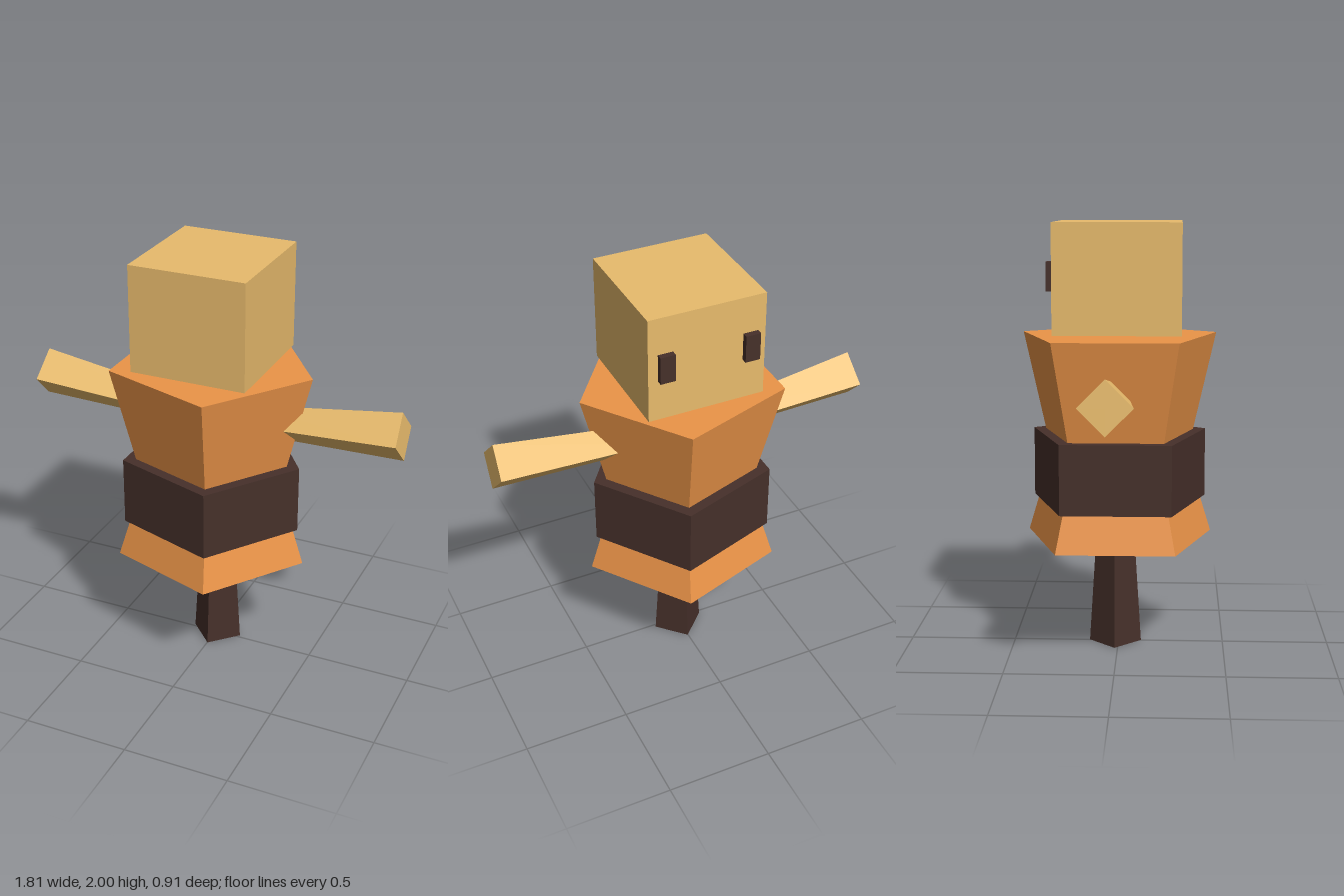
import * as THREE from 'three';

const material = (color) => new THREE.MeshStandardMaterial({ color, flatShading: true });

export function createModel() {
  const model = new THREE.Group();
  const straw = material(0xe8bb6c);
  const cloth = material(0xeb9448);
  const darkWood = material(0x46302a);

  const add = (name, geometry, mat, x, y, z) => {
    const mesh = new THREE.Mesh(geometry, mat);
    mesh.name = name;
    mesh.position.set(x, y, z);
    model.add(mesh);
    return mesh;
  };

  // Five-sided ring section with one corner pointing to +x
  const pentagon = (name, mat, rTop, rBottom, y0, y1) => {
    const g = new THREE.CylinderGeometry(rTop, rBottom, y1 - y0, 5, 1, false, Math.PI / 2);
    return add(name, g, mat, -0.012, (y0 + y1) / 2, 0);
  };

  // Post, tapered, with corners on the axes
  add('post', new THREE.CylinderGeometry(0.09, 0.123, 0.53, 4), darkWood, 0.002, 0.265, -0.015);

  // Tunic: flared skirt and chest meeting under the belt
  pentagon('skirt', cloth, 0.34, 0.461, 0.52, 0.9);
  pentagon('chest', cloth, 0.481, 0.34, 0.9, 1.48);
  pentagon('belt', darkWood, 0.43, 0.43, 0.695, 1.02);

  // Arms: four-sided, widening outwards and raised a little
  const arm = (name, x0, y0, x1, y1) => {
    const length = Math.hypot(x1 - x0, y1 - y0);
    const g = new THREE.CylinderGeometry(0.117, 0.071, length, 4);
    const mesh = add(name, g, straw, (x0 + x1) / 2, (y0 + y1) / 2, -0.018);
    mesh.rotation.z = Math.atan2(y1 - y0, x1 - x0) - Math.PI / 2;
  };
  arm('leftArm', 0.15, 1.214, 0.893, 1.276);
  arm('rightArm', -0.15, 1.203, -0.898, 1.269);

  // Head with two eyes on the -z side
  add('head', new THREE.BoxGeometry(0.55, 0.5, 0.58), straw, -0.01, 1.75, 0.003);
  for (const [name, x] of [['rightEye', -0.214], ['leftEye', 0.185]]) {
    add(name, new THREE.BoxGeometry(0.07, 0.13, 0.05), darkWood, x, 1.76, -0.29);
  }

  return model;
}
